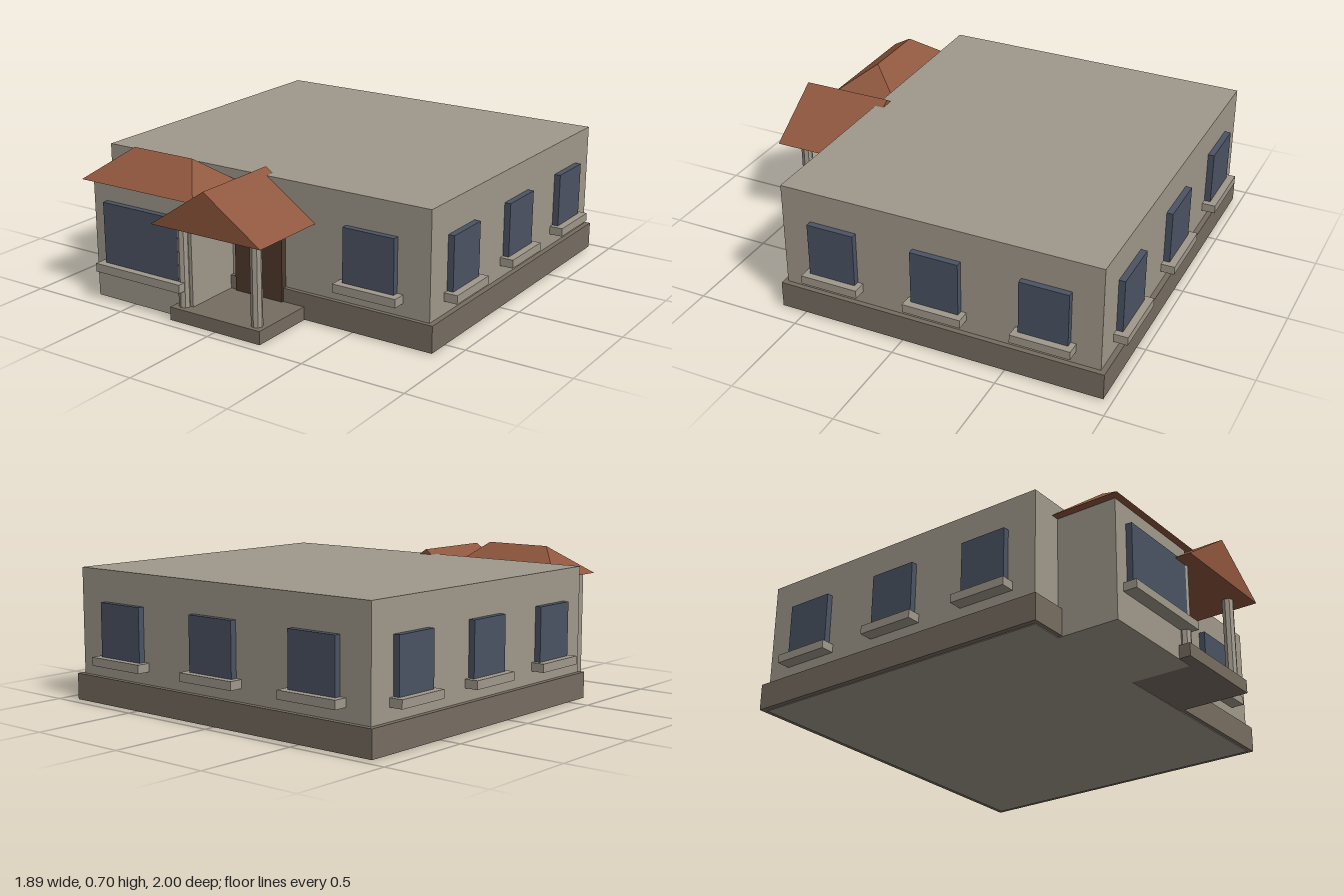
import * as THREE from 'three';
import { ConvexGeometry } from 'three/addons/geometries/ConvexGeometry.js';

const mat = (name, color) => new THREE.MeshStandardMaterial({ name, color });

export function createModel() {
  const house = new THREE.Group();
  house.name = 'house';
  const wall = mat('wall', 0xa0988b);
  const stone = mat('stone', 0x776d61);
  const glass = mat('glass', 0x4b5363);
  const tile = mat('roofTile', 0x8f563d);
  const wood = mat('doorWood', 0x4e392c);

  const add = (parent, name, geometry, material) => {
    const mesh = new THREE.Mesh(geometry, material);
    mesh.name = name;
    parent.add(mesh);
    return mesh;
  };
  // Box given by its limits on each axis
  const box = (parent, name, material, [x0, x1], [y0, y1], [z0, z1]) => {
    const g = new THREE.BoxGeometry(x1 - x0, y1 - y0, z1 - z0);
    g.translate((x0 + x1) / 2, (y0 + y1) / 2, (z0 + z1) / 2);
    return add(parent, name, g, material);
  };
  // Solid roof: rectangular eaves rising to a ridge from a to b
  const roof = (name, [x0, x1], [z0, z1], y, a, b) => {
    const eaves = [[x0, z0], [x1, z0], [x1, z1], [x0, z1]];
    const points = eaves.map(([x, z]) => new THREE.Vector3(x, y, z));
    points.push(new THREE.Vector3(...a), new THREE.Vector3(...b));
    return add(house, name, new ConvexGeometry(points), tile);
  };
  // Window with sill, facing +z at the wall plane, then turned and placed
  const windowUnit = (name, x, z, turn, w, sillW, y0, y1) => {
    const unit = new THREE.Group();
    unit.name = name;
    box(unit, 'pane', glass, [-w / 2, w / 2], [y0, y1], [-0.02, 0.03]);
    box(unit, 'sill', wall, [-sillW / 2, sillW / 2], [y0 - 0.04, y0], [-0.02, 0.065]);
    unit.position.set(x, 0, z);
    unit.rotation.y = turn;
    house.add(unit);
  };

  // Main block on its plinth
  box(house, 'mainWalls', wall, [-0.88, 0.88], [0, 0.635], [-0.935, 0.6]);
  box(house, 'plinth', stone, [-0.905, 0.905], [0.004, 0.13], [-0.96, 0.62]);

  // Windows on both sides, the back and the front
  for (const z of [-0.68, -0.168, 0.343]) {
    windowUnit('leftWindow', 0.88, z, Math.PI / 2, 0.23, 0.28, 0.23, 0.485);
    windowUnit('rightWindow', -0.88, z, -Math.PI / 2, 0.23, 0.28, 0.23, 0.485);
  }
  for (const x of [-0.588, 0, 0.588])
    windowUnit('backWindow', x, -0.935, Math.PI, 0.26, 0.32, 0.23, 0.485);
  windowUnit('frontWindow', 0.588, 0.6, 0, 0.26, 0.32, 0.23, 0.485);

  // Projecting bay with a hipped roof
  box(house, 'bayWalls', wall, [-0.72, -0.16], [0, 0.57], [0.55, 0.895]);
  windowUnit('bayWindow', -0.428, 0.895, 0, 0.43, 0.49, 0.185, 0.475);
  roof('bayRoof', [-0.76, -0.117], [0.57, 0.93], 0.565, [-0.595, 0.7, 0.75], [-0.26, 0.7, 0.75]);

  // Porch: slab, door, two columns and a gable roof
  box(house, 'porchSlab', stone, [-0.247, 0.247], [0.002, 0.065], [0.58, 0.95]);
  box(house, 'door', wood, [-0.125, 0.135], [0.065, 0.47], [0.58, 0.63]);
  for (const x of [-0.2, 0.2]) {
    const g = new THREE.CylinderGeometry(0.027, 0.027, 0.4, 8).toNonIndexed();
    g.computeVertexNormals();
    add(house, 'porchColumn', g, wall).position.set(x, 0.263, 0.903);
  }
  roof('porchRoof', [-0.297, 0.297], [0.555, 1], 0.46, [0, 0.66, 0.555], [0, 0.66, 1]);

  return house;
}
